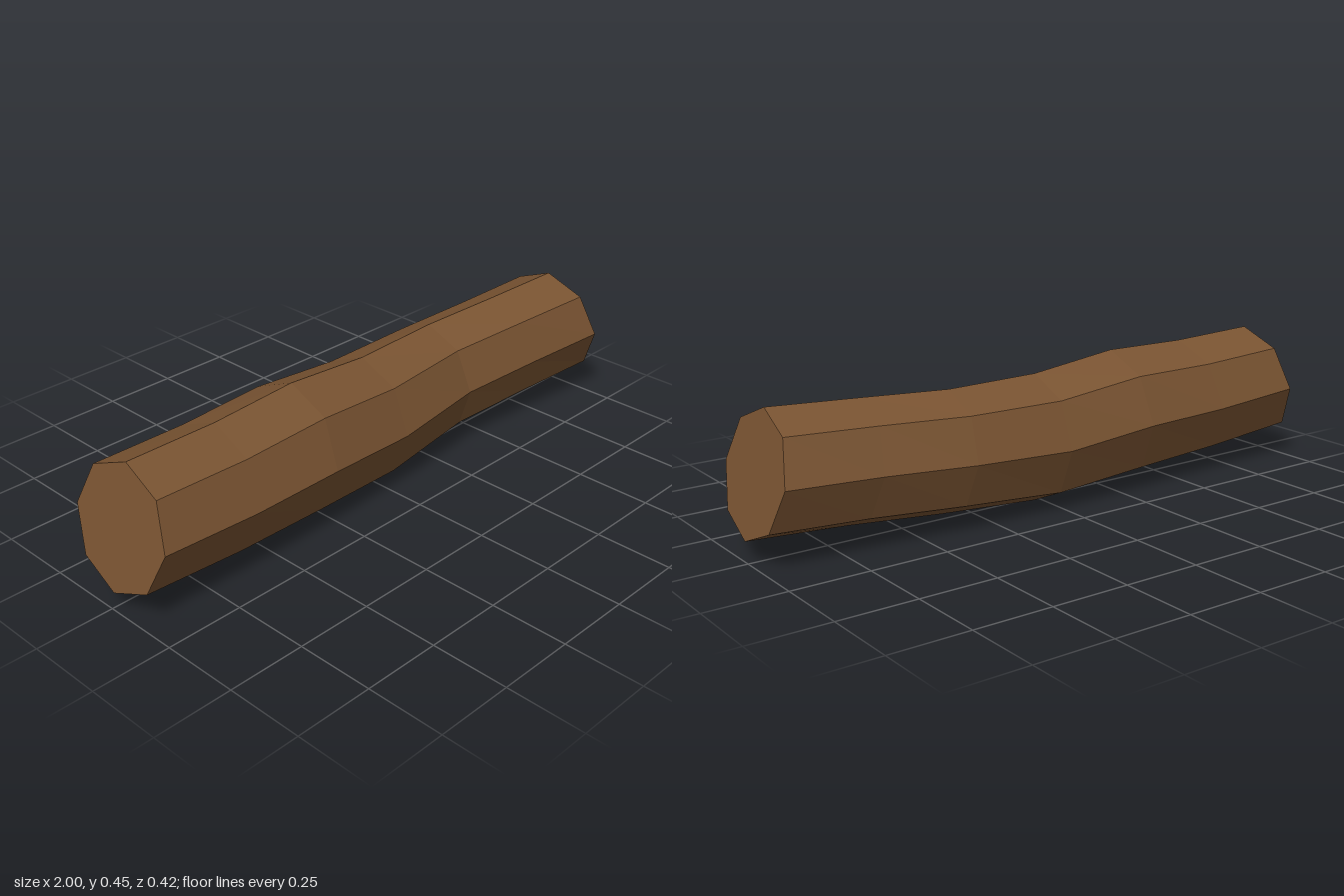
import * as THREE from 'three';

const SIDES = 8;

// Cross-sections along the log: x, centre y, centre z, half height, half depth
const RINGS = [
  [-0.96, 0.253, 0.015, 0.193, 0.195],
  [-0.63, 0.236, 0.007, 0.202, 0.201],
  [-0.31, 0.232, -0.005, 0.214, 0.205],
  [0.02, 0.207, -0.02, 0.207, 0.194],
  [0.36, 0.222, -0.034, 0.192, 0.174],
  [0.66, 0.238, -0.008, 0.188, 0.178],
  [0.96, 0.25, 0.014, 0.188, 0.187],
];

// Octagon corner; the rings fan out toward the bottom of the log
function corner([x, cy, cz, ry, rz], j) {
  const a = (j / SIDES) * Math.PI * 2;
  const up = Math.cos(a);
  return [x * (1 - 0.041 * up), cy + ry * up, cz + rz * Math.sin(a)];
}

function flatMesh(name, points, index, material) {
  const indexed = new THREE.BufferGeometry();
  indexed.setAttribute('position', new THREE.Float32BufferAttribute(points.flat(), 3));
  indexed.setIndex(index);
  const geometry = indexed.toNonIndexed();
  geometry.computeVertexNormals();
  const mesh = new THREE.Mesh(geometry, material);
  mesh.name = name;
  return mesh;
}

// Faceted bark between neighbouring cross-sections
function makeBark(material) {
  const points = [];
  const index = [];
  RINGS.forEach((ring, i) => {
    for (let j = 0; j < SIDES; j++) {
      points.push(corner(ring, j));
      if (i === RINGS.length - 1) continue;
      const a = i * SIDES + j;
      const d = i * SIDES + ((j + 1) % SIDES);
      const b = a + SIDES;
      const c = d + SIDES;
      index.push(a, d, c, a, c, b);
    }
  });
  return flatMesh('bark', points, index, material);
}

// Flat sawn end, facing along +x or -x
function makeEnd(name, ring, facesRight, material) {
  const points = [[ring[0], ring[1], ring[2]]];
  const index = [];
  for (let j = 0; j < SIDES; j++) {
    points.push(corner(ring, j));
    const p = j + 1;
    const q = ((j + 1) % SIDES) + 1;
    index.push(0, ...(facesRight ? [p, q] : [q, p]));
  }
  return flatMesh(name, points, index, material);
}

export function createModel() {
  const wood = new THREE.MeshStandardMaterial({ color: 0x7a5432 });
  wood.name = 'brown wood';

  const log = new THREE.Group();
  log.name = 'log';
  log.add(
    makeBark(wood),
    makeEnd('rightEnd', RINGS[0], false, wood),
    makeEnd('leftEnd', RINGS[RINGS.length - 1], true, wood),
  );
  return log;
}
